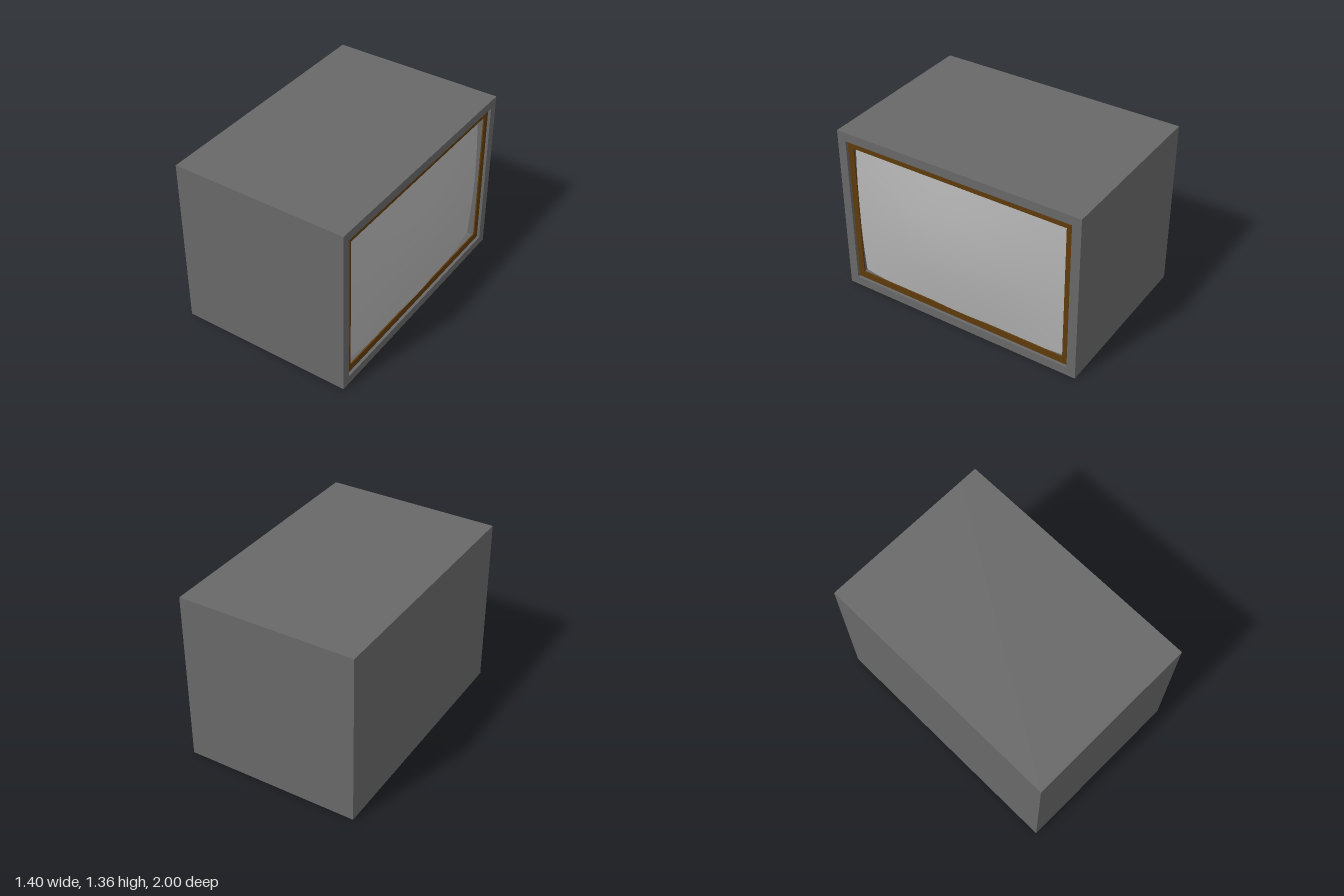
import * as THREE from 'three';

const CENTER_Y = 0.678;
const DEPTH = 2, HEIGHT = 1.356;
const OPEN_W = 1.86, OPEN_H = 1.216;

function material(name, color) {
  const m = new THREE.MeshStandardMaterial({ color });
  m.name = name;
  return m;
}

function rectangle(target, w, h) {
  target.moveTo(-w / 2, -h / 2);
  target.lineTo(w / 2, -h / 2);
  target.lineTo(w / 2, h / 2);
  target.lineTo(-w / 2, h / 2);
  target.closePath();
  return target;
}

// Rectangular ring facing +x, running from x0 to x1
function ring(w, h, holeW, holeH, x0, x1) {
  const shape = rectangle(new THREE.Shape(), w, h);
  shape.holes.push(rectangle(new THREE.Path(), holeW, holeH));
  return new THREE.ExtrudeGeometry(shape, { depth: x1 - x0, bevelEnabled: false })
    .rotateY(Math.PI / 2)
    .translate(x0, CENTER_Y, 0);
}

// Shallow dome that flattens a little towards its rim
function domedPanel() {
  const geometry = new THREE.PlaneGeometry(OPEN_W, OPEN_H, 40, 28).rotateY(Math.PI / 2);
  const p = geometry.attributes.position;
  for (let i = 0; i < p.count; i++) {
    const r2 = p.getY(i) ** 2 + p.getZ(i) ** 2;
    p.setX(i, 0.697 - r2 / 5.2 / (1 + 0.6 * r2));
  }
  geometry.computeVertexNormals();
  return geometry.translate(0, CENTER_Y, 0);
}

export function createModel() {
  const model = new THREE.Group();
  model.name = 'television';
  const grey = material('cabinet grey', 0x686868);
  const brown = material('frame brown', 0x5f3b0c);
  const pale = material('screen grey', 0xb4b4b4);

  const add = (name, geometry, mat) => {
    const mesh = new THREE.Mesh(geometry, mat);
    mesh.name = name;
    model.add(mesh);
  };

  // Cabinet: solid body and the hollow rim around the screen
  const bodyFront = 0.52, bodyBack = -0.7;
  add('cabinetBody', new THREE.BoxGeometry(bodyFront - bodyBack, HEIGHT, DEPTH)
    .translate((bodyFront + bodyBack) / 2, CENTER_Y, 0), grey);
  add('cabinetRim', ring(DEPTH, HEIGHT, OPEN_W, OPEN_H, bodyFront, 0.672), grey);

  // Slightly recessed frame and the bulging screen
  add('screenFrame', ring(OPEN_W, OPEN_H, 1.76, 1.104, 0.64, 0.65), brown);
  add('screen', domedPanel(), pale);

  return model;
}
